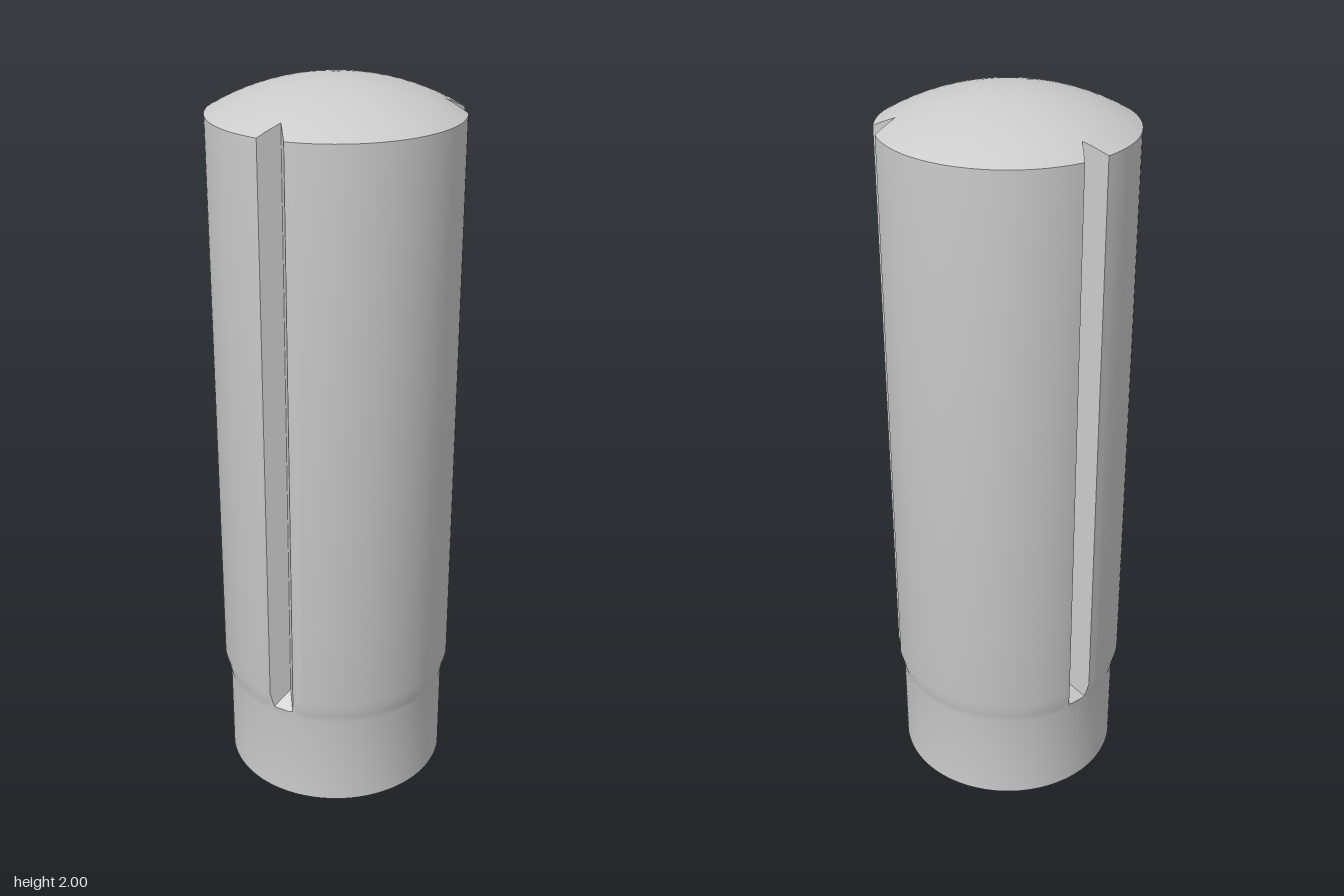
import * as THREE from 'three';
import { toCreasedNormals } from 'three/addons/utils/BufferGeometryUtils.js';

const R = 0.315, NECK = 0.3;              // body and pilot radii
const NECK_Y = 0.345, BODY_Y = 0.41;      // taper between them
const RIM_LOW = 0.085, RIM_TOP = 1.915;   // edges of the domed ends
const FLOOR_Y = 0.365, TIP_Y = 0.405, TIP = 0.263; // groove run-out and root
const DOME_STEPS = 12, ARC_STEPS = 36;

// Sagitta drop of a spherical end of height h and rim radius a, at radius r
function drop(r, a, h) {
  const s = (a * a + h * h) / (2 * h);
  return s - Math.sqrt(Math.max(0, s * s - r * r));
}
const topY = (r) => 2 - drop(r, R, 2 - RIM_TOP);
const bottomY = (r) => drop(r, NECK, RIM_LOW);
const taper = (y) => NECK + (R - NECK) * (y - NECK_Y) / (BODY_Y - NECK_Y);
const FLOOR_R = taper(FLOOR_Y);

// Columns round the pin: three V grooves joined by plain arcs
function makeColumns() {
  const columns = [];
  const ts = [0, 0.3, 0.55, 0.8, 0.9, 1];
  const groove = [...ts.slice(1).reverse().map((t) => -t), ...ts].map((t) => {
    const x = TIP + 0.05 * Math.abs(t), z = 0.035 * t;
    return { angle: Math.atan2(z, x), radius: Math.min(R, Math.hypot(x, z)), x, cut: true };
  });
  const edge = groove[groove.length - 1].angle;
  const sector = Math.PI * 2 / 3;
  for (let k = 0; k < 3; k++) {
    for (const g of groove) columns.push({ ...g, angle: g.angle + k * sector });
    for (let i = 1; i < ARC_STEPS; i++) {
      const angle = k * sector + edge + (sector - 2 * edge) * i / ARC_STEPS;
      columns.push({ angle, radius: R, cut: false });
    }
  }
  return columns;
}

// Radius and height of each row of one column, from bottom pole to top pole
function columnProfile({ radius, x, cut }) {
  const rows = [];
  for (let j = 0; j <= DOME_STEPS; j++) {
    const r = NECK * j / DOME_STEPS;
    rows.push([r, bottomY(r)]);
  }
  rows.push([NECK, NECK_Y]);
  if (cut && radius < FLOOR_R) {
    // sloping groove floor, then the groove wall
    rows.push([FLOOR_R, FLOOR_Y]);
    rows.push([radius, FLOOR_Y + (TIP_Y - FLOOR_Y) * (FLOOR_R - x) / (FLOOR_R - TIP)]);
  } else {
    const y = cut ? NECK_Y + (BODY_Y - NECK_Y) * (radius - NECK) / (R - NECK) : FLOOR_Y;
    rows.push([taper(y), y], [taper(y), y]);
  }
  rows.push([radius, BODY_Y]);
  for (let j = DOME_STEPS; j >= 0; j--) {
    const r = radius * j / DOME_STEPS;
    rows.push([r, topY(r)]);
  }
  return rows;
}

function pinGeometry() {
  const rings = makeColumns().map((c) => columnProfile(c).map(([r, y]) =>
    new THREE.Vector3(r * Math.cos(c.angle), y, -r * Math.sin(c.angle))));
  const positions = [];
  const area = new THREE.Triangle();
  const face = (a, b, c) => {
    if (area.set(a, b, c).getArea() < 1e-9) return;
    for (const p of [a, b, c]) positions.push(p.x, p.y, p.z);
  };
  rings.forEach((col, i) => {
    const next = rings[(i + 1) % rings.length];
    for (let j = 0; j < col.length - 1; j++) {
      face(col[j], next[j], next[j + 1]);
      face(col[j], next[j + 1], col[j + 1]);
    }
  });
  const geometry = new THREE.BufferGeometry();
  geometry.setAttribute('position', new THREE.Float32BufferAttribute(positions, 3));
  return toCreasedNormals(geometry, THREE.MathUtils.degToRad(25));
}

export function createModel() {
  const model = new THREE.Group();
  model.name = 'groovedPin';
  const pin = new THREE.Mesh(pinGeometry(), new THREE.MeshStandardMaterial({ color: 0xcccccc }));
  pin.name = 'pinBody';
  pin.position.x = 0.001;
  model.add(pin);
  return model;
}
